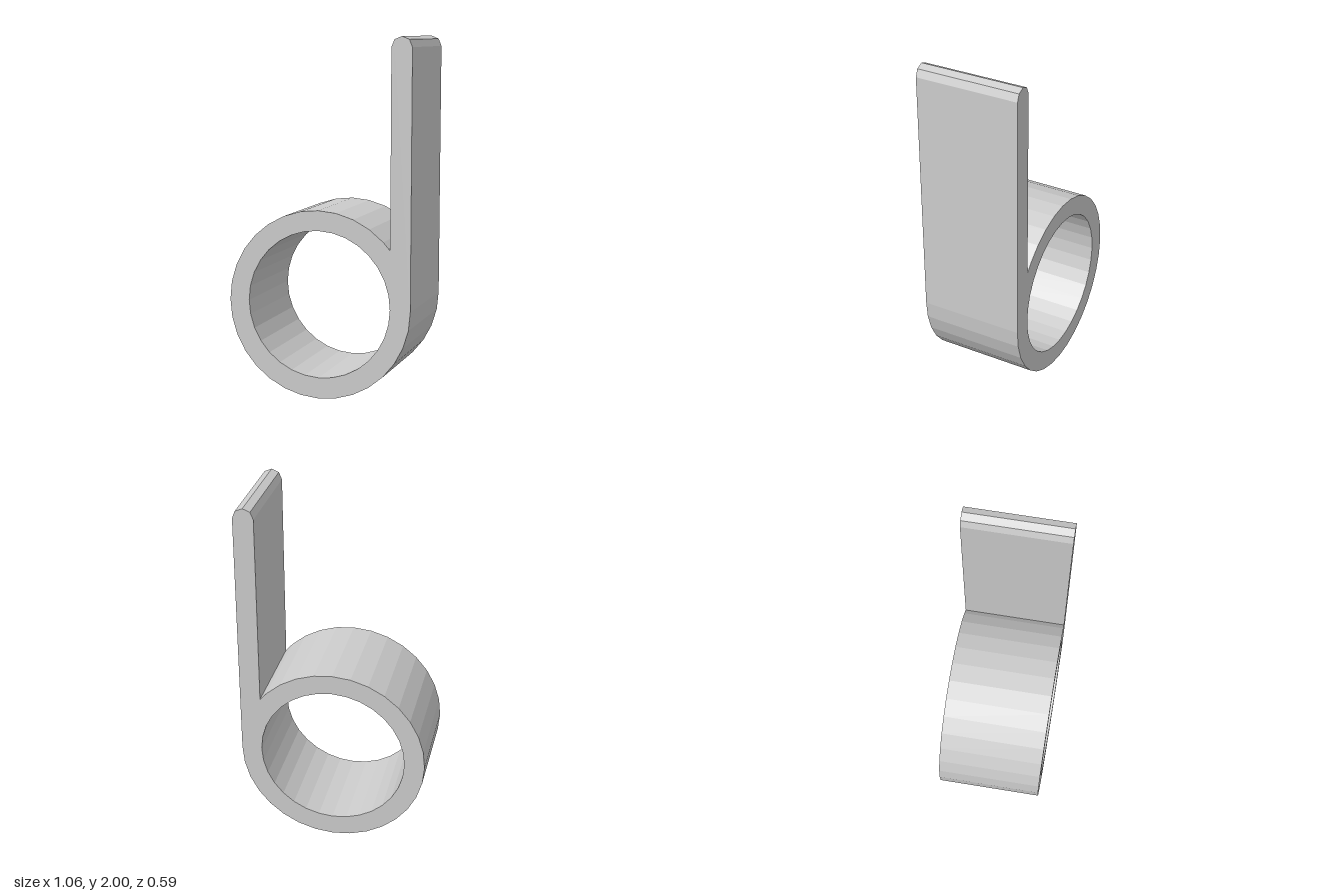
import * as THREE from 'three';

const R = 0.528, INNER = 0.413, DEPTH = 0.586, SEGMENTS = 32;
const TIP = (R - INNER) / 2; // radius of the rounded end of the tab
const MID = (R + INNER) / 2;

const onCircle = (cx, cy, r, a) =>
  new THREE.Vector2(cx + r * Math.cos(a), cy + r * Math.sin(a));

export function createModel() {
  const model = new THREE.Group();
  const grey = new THREE.MeshStandardMaterial({ color: 0xcccccc, flatShading: true });
  grey.name = 'light grey';

  const step = (Math.PI * 2) / SEGMENTS;
  const outline = [];

  // Rounded tip of the upright tab, from its outer to its inner side
  for (let i = 0; i <= 4; i++) {
    outline.push(onCircle(MID, 2 - TIP, TIP, (i * Math.PI) / 4));
  }
  // Corner where the tab's inner side meets the ring
  outline.push(new THREE.Vector2(INNER, R + Math.sqrt(R * R - INNER * INNER)));
  // Outside of the ring, round to the foot of the tab's outer side
  for (let i = 4; i <= SEGMENTS; i++) outline.push(onCircle(0, R, R, i * step));

  // Bore of the ring
  const bore = [];
  for (let i = 0; i < SEGMENTS; i++) bore.push(onCircle(0, R + 0.003, INNER, -i * step));

  const shape = new THREE.Shape(outline);
  shape.holes.push(new THREE.Path(bore));
  const geometry = new THREE.ExtrudeGeometry(shape, { depth: DEPTH, bevelEnabled: false });
  geometry.translate(0, 0, -DEPTH / 2);

  const ring = new THREE.Mesh(geometry, grey);
  ring.name = 'ringWithTab';
  model.add(ring);
  return model;
}
